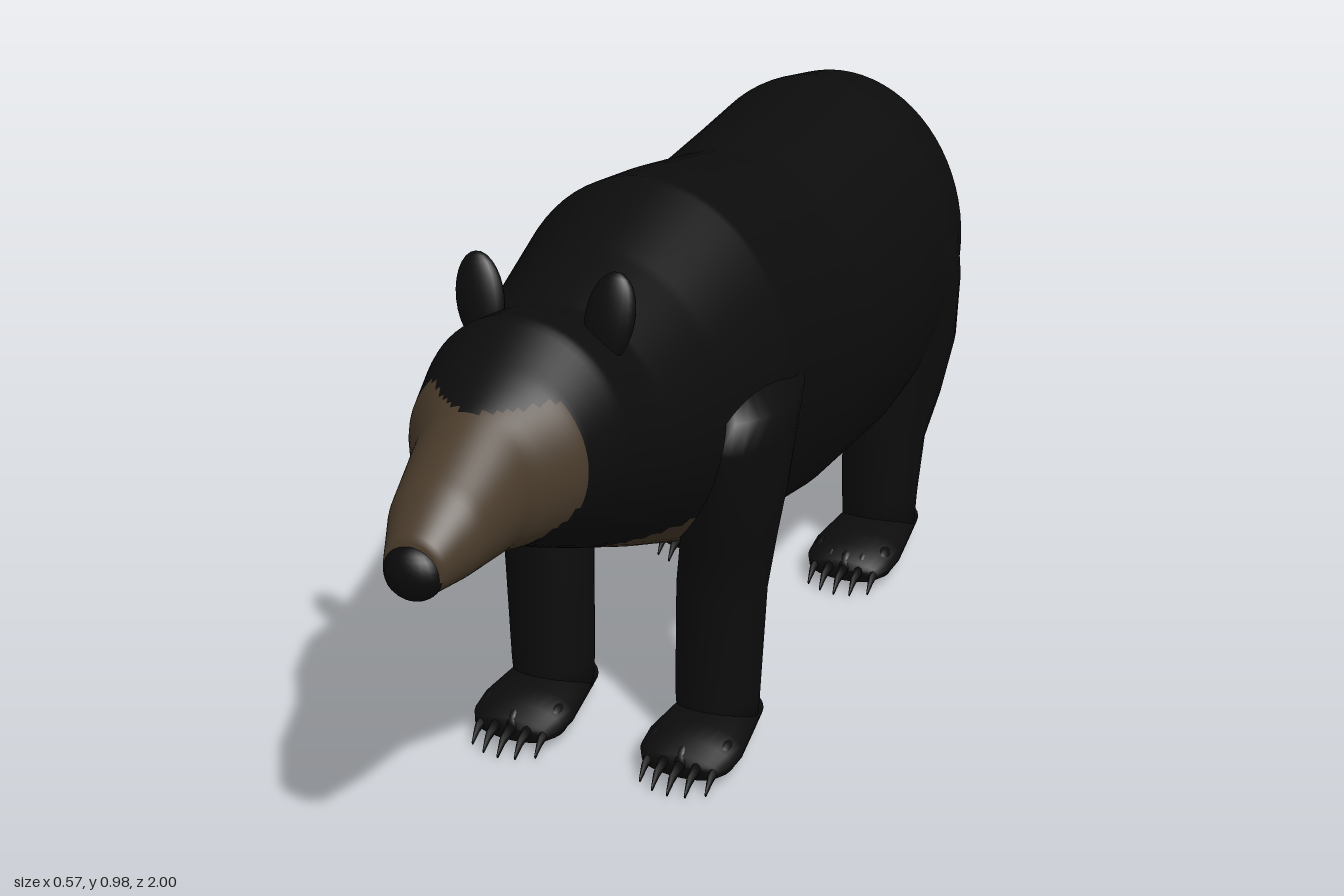
import * as THREE from 'three';

const fur = new THREE.MeshStandardMaterial({ color: 0x0c0c0c });
fur.name = 'black fur';
const tan = new THREE.MeshStandardMaterial({ color: 0x493b2b });
tan.name = 'brown fur';
const dark = new THREE.MeshStandardMaterial({ color: 0x0a0a0a });
dark.name = 'nose and claw black';

// Ring at position a along the axis, linearly interpolated between the given ones.
function ringAt(rings, a) {
  let i = 0;
  while (i < rings.length - 2 && rings[i + 1][0] < a) i++;
  const t = (a - rings[i][0]) / (rings[i + 1][0] - rings[i][0]);
  return rings[i].map((v, k) => v + (rings[i + 1][k] - v) * t);
}

// Closed skin over elliptical rings [a, uCentre, uHalf, vCentre, vHalf], a ascending.
// Axis z: (u, v) = (x, y). Axis y: (u, v) = (z, x). isTan picks the second colour.
function loft(rings, axis, sides, isTan) {
  const cap = (r) => [r[0], r[1], 0, r[3], 0];
  const all = [cap(rings[0]), ...rings, cap(rings[rings.length - 1])];
  const pos = [];
  for (const [a, uc, uh, vc, vh] of all) {
    for (let j = 0; j < sides; j++) {
      const t = (j / sides) * Math.PI * 2;
      const u = uc + uh * Math.cos(t), v = vc + vh * Math.sin(t);
      if (axis === 'z') pos.push(u, v, a);
      else pos.push(v, a, u);
    }
  }
  const faces = [[], []];
  const mid = (p, q, k) => (pos[p * 3 + k] + pos[q * 3 + k]) / 2;
  for (let i = 0; i < all.length - 1; i++) {
    for (let j = 0; j < sides; j++) {
      const a = i * sides + j, b = i * sides + (j + 1) % sides;
      const c = b + sides, d = a + sides;
      const kind = isTan && isTan(mid(a, c, 0), mid(a, c, 1), mid(a, c, 2)) ? 1 : 0;
      faces[kind].push(a, b, c, a, c, d);
    }
  }
  const g = new THREE.BufferGeometry();
  g.setAttribute('position', new THREE.Float32BufferAttribute(pos, 3));
  g.setIndex([...faces[0], ...faces[1]]);
  g.addGroup(0, faces[0].length, 0);
  if (faces[1].length) g.addGroup(faces[0].length, faces[1].length, 1);
  g.computeVertexNormals();
  return g;
}

// Profile row [z, top, bottom, halfWidth] to a ring.
const row = ([z, top, bottom, w]) => [z, 0, w, (top + bottom) / 2, (top - bottom) / 2];

function add(parent, name, geometry, material) {
  const m = new THREE.Mesh(geometry, material);
  m.name = name;
  parent.add(m);
  return m;
}

function ellipsoid(parent, name, material, p, r) {
  const m = add(parent, name, new THREE.SphereGeometry(1, 20, 14), material);
  m.position.set(...p);
  m.scale.set(...r);
  return m;
}

// Body, neck and head in one skin, from rump to muzzle
const bodyRows = [
  [-0.915, 0.62, 0.45, 0.09], [-0.88, 0.8, 0.39, 0.18], [-0.83, 0.875, 0.32, 0.235],
  [-0.79, 0.915, 0.295, 0.255], [-0.66, 0.94, 0.245, 0.28], [-0.5, 0.93, 0.228, 0.28],
  [-0.23, 0.92, 0.24, 0.267], [0, 0.965, 0.28, 0.262], [0.14, 0.985, 0.325, 0.262],
  [0.34, 0.925, 0.405, 0.222], [0.5, 0.89, 0.475, 0.193], [0.61, 0.91, 0.525, 0.176],
  [0.7, 0.865, 0.57, 0.15], [0.78, 0.825, 0.588, 0.102], [0.9, 0.755, 0.598, 0.078],
  [0.975, 0.695, 0.605, 0.046],
].map(row);

function isBrown(x, y, z) {
  const muzzle = y < 0.822 && z > 0.695 + Math.max(0, 0.66 - y) * 0.7;
  const edge = z > 0.15 ? 0.47 + Math.max(0, -x - 0.1) * 0.65 : 0.365;
  const chest = z > 0.02 && z < 0.47 && y < edge;
  return muzzle || chest;
}

// Legs, rings [y, zCentre, zHalf, xCentre, xHalf]
const frontLegRings = [
  [0.04, 0.2, 0.072, 0.157, 0.07], [0.1, 0.202, 0.072, 0.157, 0.074],
  [0.3, 0.198, 0.078, 0.162, 0.078], [0.4, 0.205, 0.092, 0.177, 0.08],
  [0.5, 0.215, 0.112, 0.199, 0.077], [0.6, 0.2, 0.138, 0.212, 0.068],
  [0.66, 0.195, 0.14, 0.22, 0.066], [0.69, 0.19, 0.09, 0.19, 0.05],
];
const hindLegRings = [
  [0.04, -0.632, 0.074, 0.157, 0.07], [0.12, -0.633, 0.077, 0.157, 0.074],
  [0.24, -0.632, 0.088, 0.162, 0.08], [0.32, -0.665, 0.125, 0.172, 0.085],
  [0.42, -0.69, 0.145, 0.185, 0.087], [0.55, -0.67, 0.15, 0.203, 0.078],
  [0.64, -0.65, 0.13, 0.215, 0.066], [0.7, -0.63, 0.07, 0.19, 0.05],
];
const pawRows = [
  [0, 0.07, 0.025, 0.045], [0.02, 0.088, 0.008, 0.064], [0.1, 0.092, 0.004, 0.077],
  [0.17, 0.086, 0.002, 0.087], [0.215, 0.076, 0.003, 0.084], [0.24, 0.055, 0.012, 0.07],
].map(row);
const clawRows = [
  [-0.02, 0.048, 0.022, 0.009], [0.015, 0.047, 0.025, 0.008],
  [0.035, 0.038, 0.02, 0.006], [0.055, 0.014, 0.006, 0.002],
].map(row);

// Paw with toes and claws; heel at z, toes at z + length
function paw(name, x, z, length) {
  const g = new THREE.Group();
  g.name = name;
  g.position.set(x, 0, z);
  add(g, 'pad', loft(pawRows, 'z', 24), fur).scale.z = length / 0.24;
  for (let i = -2; i <= 2; i++) {
    const tip = length - 0.006 * i * i;
    ellipsoid(g, 'toe', fur, [i * 0.031, 0.04, tip - 0.03], [0.018, 0.03, 0.036]);
    add(g, 'claw', loft(clawRows, 'z', 8), dark).position.set(i * 0.03, 0, tip);
  }
  return g;
}

export function createModel() {
  const bear = new THREE.Group();
  bear.name = 'bear';

  const rings = [];
  const steps = 190, start = -0.915, end = 0.975;
  for (let i = 0; i <= steps; i++) rings.push(ringAt(bodyRows, start + ((end - start) * i) / steps));
  add(bear, 'body', loft(rings, 'z', 72, isBrown), [fur, tan]);

  ellipsoid(bear, 'nose', dark, [0, 0.645, 0.968], [0.047, 0.044, 0.032]);
  ellipsoid(bear, 'tail', fur, [0, 0.622, -0.925], [0.032, 0.028, 0.086]).rotation.x = -0.52;

  for (const s of [1, -1]) {
    const side = s > 0 ? 'left' : 'right';
    const ear = ellipsoid(bear, side + 'Ear', fur, [s * 0.11, 0.893, 0.527], [0.041, 0.074, 0.021]);
    ear.rotation.set(-0.15, 0, -s * 0.15);

    const mirrored = (list) => list.map(([y, zc, zh, xc, xh]) => [y, zc, zh, s * xc, xh]);
    add(bear, side + 'FrontLeg', loft(mirrored(frontLegRings), 'y', 24), fur);
    add(bear, side + 'HindLeg', loft(mirrored(hindLegRings), 'y', 24), fur);
    bear.add(paw(side + 'FrontPaw', s * 0.158, 0.13, 0.24));
    bear.add(paw(side + 'HindPaw', s * 0.158, -0.71, 0.28));
  }
  return bear;
}
